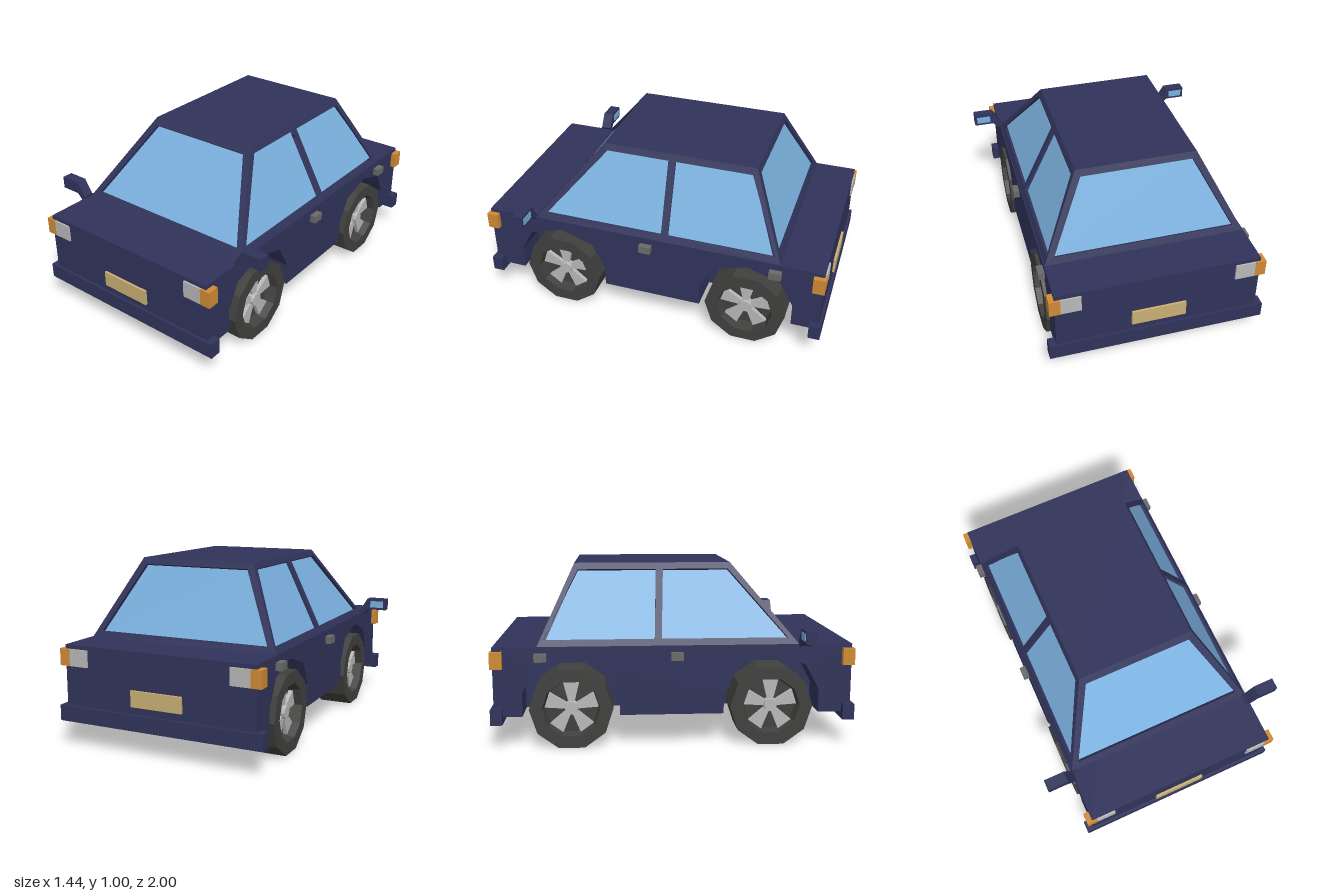
import * as THREE from 'three';

const mat = (color) => new THREE.MeshStandardMaterial({ color, flatShading: true });
const paint = mat(0x30335a), glass = mat(0x7ab0de), rubber = mat(0x40403e), silver = mat(0xb8b8b8),
  amber = mat(0xd08a35), tan = mat(0xc9af73), handleGrey = mat(0x6a6a6a);

const WHEEL_Z = [0.54, -0.565];
const BODY_TOP = 0.565, BASE_X = 0.555, ROOF_X = 0.335;

function add(parent, name, geometry, material) {
  const mesh = new THREE.Mesh(geometry, material);
  mesh.name = name;
  parent.add(mesh);
  return mesh;
}

// Box given by its [min, max] along each axis
function box(parent, name, material, [x0, x1], [y0, y1], [z0, z1]) {
  const mesh = add(parent, name, new THREE.BoxGeometry(x1 - x0, y1 - y0, z1 - z0), material);
  mesh.position.set((x0 + x1) / 2, (y0 + y1) / 2, (z0 + z1) / 2);
  return mesh;
}

const poly = (pts) => new THREE.Shape(pts.map(([x, y]) => new THREE.Vector2(x, y)));

function extrude(pts, depth, holes = []) {
  const shape = poly(pts);
  shape.holes = holes.map(poly);
  return new THREE.ExtrudeGeometry(shape, { depth, bevelEnabled: false });
}

// Lower body: side profile with faceted wheel arches, plus a core closing the wells
function addBody(car) {
  const pts = [[-0.985, BODY_TOP], [-0.985, 0.18]];
  for (const z of [...WHEEL_Z].reverse()) {
    pts.push([z - 0.265, 0.18], [z - 0.265, 0.31], [z - 0.19, 0.45], [z, 0.51],
      [z + 0.19, 0.45], [z + 0.265, 0.31], [z + 0.265, 0.18]);
  }
  pts.push([0.985, 0.18], [0.985, BODY_TOP]);
  const geometry = extrude(pts, 1.12).translate(0, 0, -0.56).rotateY(-Math.PI / 2);
  add(car, 'body', geometry, paint);
  box(car, 'underbodyCore', paint, [-0.36, 0.36], [0.182, 0.55], [-0.95, 0.95]);
}

// Leaning cabin wall: points are (across, world height), windows become recessed panes
function addWall(car, name, outline, windows, position, lean, turn) {
  const wall = new THREE.Group();
  wall.name = name;
  const stretch = Math.hypot(1, lean);
  const flat = (pts) => pts.map(([x, y]) => [x, (y - BODY_TOP) * stretch]);
  add(wall, 'frame', extrude(flat(outline), 0.03, windows.map(flat)).translate(0, 0, -0.03), paint);
  for (const w of windows) {
    add(wall, 'windowPane', new THREE.ShapeGeometry(poly(flat(w))), glass).position.z = -0.018;
  }
  wall.position.set(...position);
  wall.rotation.set(-Math.atan(lean), turn, 0, 'YXZ');
  car.add(wall);
}

function addCabin(car) {
  const height = 1 - BODY_TOP, front = [0.69, 0.33], rear = [-0.745, -0.545];
  const endOutline = [[-BASE_X, BODY_TOP], [BASE_X, BODY_TOP], [ROOF_X, 1], [-ROOF_X, 1]];
  const endWindow = [[-0.5, 0.6], [0.5, 0.6], [0.31, 0.965], [-0.31, 0.965]];
  addWall(car, 'windscreenWall', endOutline, [endWindow], [0, BODY_TOP, front[0]],
    (front[0] - front[1]) / height, 0);
  addWall(car, 'rearWindowWall', endOutline, [endWindow], [0, BODY_TOP, rear[0]],
    (rear[1] - rear[0]) / height, Math.PI);

  const sideOutline = [[rear[0], BODY_TOP], [front[0], BODY_TOP], [front[1], 1], [rear[1], 1]];
  const sideWindows = [
    [[-0.067, 0.6], [0.63, 0.6], [0.315, 0.965], [-0.05, 0.965]],
    [[-0.71, 0.6], [-0.105, 0.6], [-0.09, 0.965], [-0.525, 0.965]],
  ];
  for (const s of [1, -1]) {
    const face = (pts) => pts.map(([z, y]) => [-s * z, y]);
    addWall(car, s > 0 ? 'leftCabinSide' : 'rightCabinSide', face(sideOutline), sideWindows.map(face),
      [s * BASE_X, BODY_TOP, 0], (BASE_X - ROOF_X) / height, s * Math.PI / 2);
  }
  box(car, 'roof', paint, [-ROOF_X, ROOF_X], [0.975, 1], [rear[1], front[1]]);
}

// Wheel with its axle along x and the outer face towards +x
function makeWheel() {
  const wheel = new THREE.Group();
  wheel.name = 'wheel';
  const profile = [[0, -0.1], [0.23, -0.1], [0.23, 0.1], [0.16, 0.1], [0.148, 0.035], [0, 0.035]];
  const tyre = new THREE.LatheGeometry(profile.map(([r, y]) => new THREE.Vector2(r, y)), 10);
  add(wheel, 'tyre', tyre.rotateZ(-Math.PI / 2), rubber);
  const back = new THREE.CircleGeometry(0.228, 10).rotateY(-Math.PI / 2);
  add(wheel, 'wheelBack', back, paint).position.x = -0.102;
  for (let i = 0; i < 5; i++) {
    const spoke = extrude([[-0.014, 0.02], [0.014, 0.02], [0.044, 0.142], [-0.044, 0.142]], 0.025);
    spoke.rotateY(Math.PI / 2).rotateX(i * Math.PI * 2 / 5);
    add(wheel, 'spoke', spoke, silver).position.x = 0.033;
  }
  const hub = new THREE.CylinderGeometry(0.036, 0.042, 0.05, 10).rotateZ(-Math.PI / 2);
  add(wheel, 'hub', hub, silver).position.x = 0.05;
  return wheel;
}

// Everything repeated on each side, modelled for the +x side
function addSideParts(car, s) {
  const span = (a, b) => (s > 0 ? [a, b] : [-b, -a]);

  for (const z of WHEEL_Z) {
    const wheel = makeWheel();
    wheel.position.set(s * 0.47, 0.219, z);
    if (s < 0) wheel.rotation.y = Math.PI;
    car.add(wheel);
  }

  // Lamps at both ends, amber wrapping around the corner
  for (const e of [1, -1]) {
    const depth = (a, b) => (e > 0 ? [a, b] : [-b, -a]);
    box(car, 'lamp', silver, span(0.42, 0.53), [0.45, 0.543], depth(0.94, 0.995));
    box(car, 'cornerLamp', amber, span(0.53, 0.59), [0.45, 0.543], depth(0.93, 0.996));
  }

  for (const z of [0.015, -0.725]) {
    box(car, 'doorHandle', handleGrey, span(0.55, 0.595), [0.487, 0.53], [z - 0.034, z + 0.034]);
  }

  // Door mirror on a slanted arm
  const outline = [[0.53, 0.59], [0.57, 0.555], [0.603, 0.59], [0.72, 0.59], [0.72, 0.66], [0.6, 0.66], [0.55, 0.58]];
  const mirror = extrude(outline.map(([x, y]) => [s * x, y]), 0.062);
  add(car, 'doorMirror', mirror, paint).position.z = 0.688;
  box(car, 'mirrorGlass', glass, span(0.62, 0.705), [0.604, 0.646], [0.685, 0.69]);
}

export function createModel() {
  const car = new THREE.Group();
  car.name = 'car';
  addBody(car);
  addCabin(car);
  for (const s of [1, -1]) addSideParts(car, s);

  // Bumpers and blank plates at both ends
  for (const e of [1, -1]) {
    const depth = (a, b) => (e > 0 ? [a, b] : [-b, -a]);
    box(car, e > 0 ? 'frontBumper' : 'rearBumper', paint, [-0.6, 0.6], [0.143, 0.23], depth(0.935, 1));
    box(car, e > 0 ? 'frontPlate' : 'rearPlate', tan, [-0.15, 0.15], [0.272, 0.36], depth(0.97, 0.998));
  }
  return car;
}
